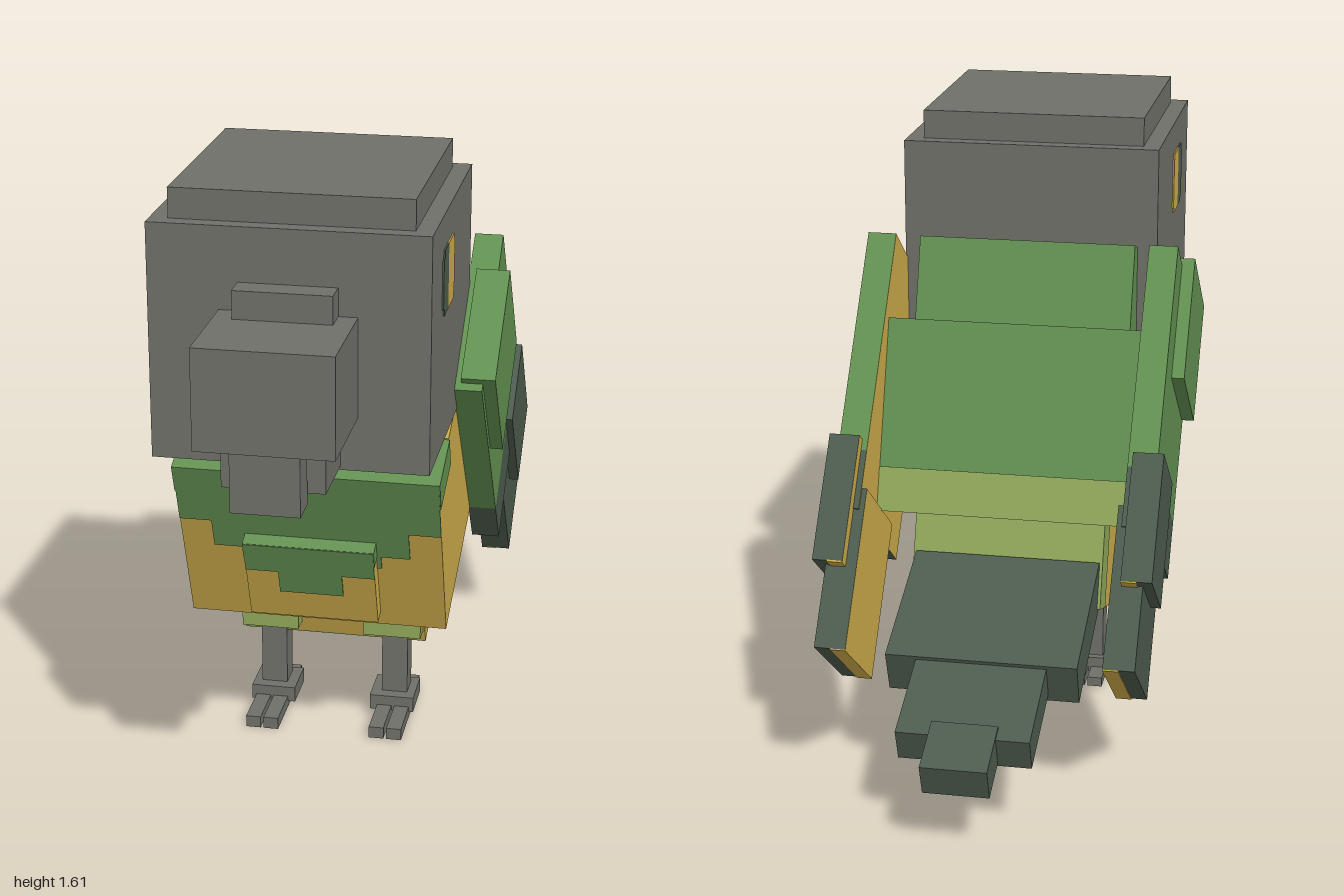
import * as THREE from 'three';

const mat = (name, color) => {
  const m = new THREE.MeshStandardMaterial({ color });
  m.name = name;
  return m;
};

export function createModel() {
  const grey = mat('grey', 0x70706a);
  const green = mat('green', 0x639152);
  const yellow = mat('yellow', 0xceac4a);
  const dark = mat('darkGreen', 0x4d5c4e);
  const olive = mat('olive', 0x90a85a);

  // Box given by its x, y and z ranges; faces order: +x, -x, +y, -y, +z, -z
  const box = (parent, name, m, [x0, x1], [y0, y1], [z0, z1]) => {
    const geo = new THREE.BoxGeometry(Math.abs(x1 - x0), y1 - y0, z1 - z0);
    const mesh = new THREE.Mesh(geo, m);
    mesh.position.set((x0 + x1) / 2, (y0 + y1) / 2, (z0 + z1) / 2);
    mesh.name = name;
    parent.add(mesh);
    return mesh;
  };
  const wide = (w) => [-w, w];
  const tilted = (parent, name, y, z, degrees) => {
    const g = new THREE.Group();
    g.name = name;
    g.position.set(0, y, z);
    g.rotation.x = THREE.MathUtils.degToRad(degrees);
    parent.add(g);
    return g;
  };

  const model = new THREE.Group();
  model.name = 'bird';

  // Head and beak
  const head = tilted(model, 'head', 0, 0, 0);
  box(head, 'skull', grey, wide(0.34), [0.94, 1.53], [0.05, 0.72]);
  box(head, 'crown', grey, wide(0.295), [1.53, 1.605], [0.09, 0.68]);
  box(head, 'upperBeak', grey, wide(0.167), [1.075, 1.325], [0.72, 1]);
  box(head, 'beakRidge', grey, wide(0.12), [1.325, 1.395], [0.72, 0.785]);
  box(head, 'lowerBeak', grey, wide(0.125), [0.95, 1.075], [0.72, 0.9]);
  box(head, 'beakTip', grey, wide(0.083), [0.925, 1.075], [0.91, 0.99]);

  // Eyes: thin painted plates with clipped outer corners
  for (const s of [1, -1]) {
    const x = [s * 0.338, s * 0.344];
    box(head, 'eyePupil', dark, x, [1.28, 1.445], [0.475, 0.54]);
    box(head, 'eyePupilEdge', dark, x, [1.3, 1.425], [0.54, 0.555]);
    box(head, 'eyeIris', yellow, x, [1.28, 1.445], [0.39, 0.475]);
    box(head, 'eyeIrisEdge', yellow, x, [1.295, 1.43], [0.378, 0.39]);
  }

  // Body, tilted back; local origin at the top front edge of the chest
  const body = tilted(model, 'body', 0.845, 0.545, 20);
  box(body, 'chest', [yellow, yellow, green, yellow, yellow, green], wide(0.338), [-0.506, 0], [-0.77, 0]);
  box(body, 'neck', green, wide(0.288), [-0.02, 0.227], [-0.664, -0.09]);
  box(body, 'belly', [yellow, yellow, yellow, yellow, yellow, olive], wide(0.25), [-0.73, -0.45], [-0.663, -0.165]);
  box(body, 'breastPlate', yellow, wide(0.168), [-0.46, -0.214], [-0.02, 0.041]);

  // Stepped green bib on the chest front and the breast plate
  for (const [w, y0, y1] of [[0.338, -0.175, 0], [0.255, -0.26, -0.175], [0.18, -0.3, -0.26]]) {
    box(body, 'bib', green, wide(w), [y0, y1], [-0.002, 0.004]);
  }
  for (const [w, y0, y1] of [[0.168, -0.3, -0.212], [0.083, -0.37, -0.3]]) {
    box(body, 'breastPatch', green, wide(w), [y0, y1], [0.038, 0.045]);
  }
  box(body, 'breastPlateTop', green, wide(0.17), [-0.26, -0.211], [0.002, 0.043]);

  // Olive rump and belly patches
  box(body, 'rumpBand', olive, wide(0.335), [-0.506, -0.39], [-0.774, -0.768]);
  box(body, 'bellyPatch', olive, wide(0.25), [-0.733, -0.728], [-0.3, -0.165]);
  box(body, 'bellyPatchStep', olive, wide(0.16), [-0.733, -0.728], [-0.38, -0.3]);
  for (const s of [1, -1]) {
    box(body, 'chestSidePatch', green, [s * 0.336, s * 0.341], [-0.08, 0], [-0.17, 0.003]);
    box(body, 'shoulderPatch', yellow, [s * 0.288, s * 0.338], [-0.002, 0.004], [-0.45, -0.17]);
    box(body, 'bellySidePatch', olive, [s * 0.247, s * 0.253], [-0.73, -0.5], [-0.663, -0.56]);
  }

  // Tail: three stepped feathers with yellow undersides
  const tail = tilted(model, 'tail', 0.19, -0.86, -20);
  const tailMats = [dark, dark, dark, yellow, dark, dark];
  box(tail, 'tailBase', tailMats, wide(0.245), [-0.02, 0.1], [0.25, 0.64]);
  box(tail, 'tailMiddle', tailMats, wide(0.167), [0, 0.09], [0, 0.3]);
  box(tail, 'tailTip', tailMats, wide(0.083), [0.008, 0.097], [-0.113, 0.04]);

  for (const s of [1, -1]) {
    const side = (a, b) => [s * a, s * b];

    // Wing: outer faces coloured, inner face yellow
    const wing = tilted(model, s > 0 ? 'leftWing' : 'rightWing', 1.01, 0.31, 37.6);
    const lined = (m) => [0, 1, 2, 3, 4, 5].map((i) => (i === (s > 0 ? 1 : 0) ? yellow : m));
    box(wing, 'wingUpper', lined(green), side(0.335, 0.41), [-0.6, 0], [-0.49, 0]);
    box(wing, 'wingBand', lined(dark), side(0.335, 0.41), [-0.756, -0.6], [-0.49, 0]);
    box(wing, 'wingShoulder', lined(green), side(0.355, 0.443), [-0.315, 0.02], [-0.363, -0.022]);
    box(wing, 'wingFeather', lined(dark), side(0.35, 0.428), [-0.904, -0.572], [-0.525, -0.272]);
    box(wing, 'wingTip', lined(dark), side(0.322, 0.402), [-1.118, -0.7], [-0.485, -0.158]);
    box(wing, 'wingTipEnd', yellow, side(0.322, 0.362), [-1.121, -1.116], [-0.485, -0.158]);
    box(wing, 'wingFeatherEnd', yellow, side(0.35, 0.39), [-0.907, -0.902], [-0.525, -0.272]);

    // Leg and foot
    const leg = tilted(model, s > 0 ? 'leftLeg' : 'rightLeg', 0, 0, 0);
    box(leg, 'thigh', olive, side(0.09, 0.245), [0.25, 0.335], [0.04, 0.205]);
    box(leg, 'thighTop', green, side(0.09, 0.245), [0.335, 0.45], [0.04, 0.205]);
    box(leg, 'shin', grey, side(0.133, 0.203), [0.05, 0.25], [0.085, 0.155]);
    box(leg, 'foot', grey, side(0.105, 0.225), [0.018, 0.06], [0.065, 0.188]);
    for (const x of [0.145, 0.193]) {
      box(leg, 'frontToe', grey, side(x - 0.02, x + 0.02), [0, 0.032], [0.1, 0.318]);
      box(leg, 'backToe', grey, side(x - 0.02, x + 0.02), [0.006, 0.032], [-0.005, 0.1]);
    }
  }
  return model;
}
